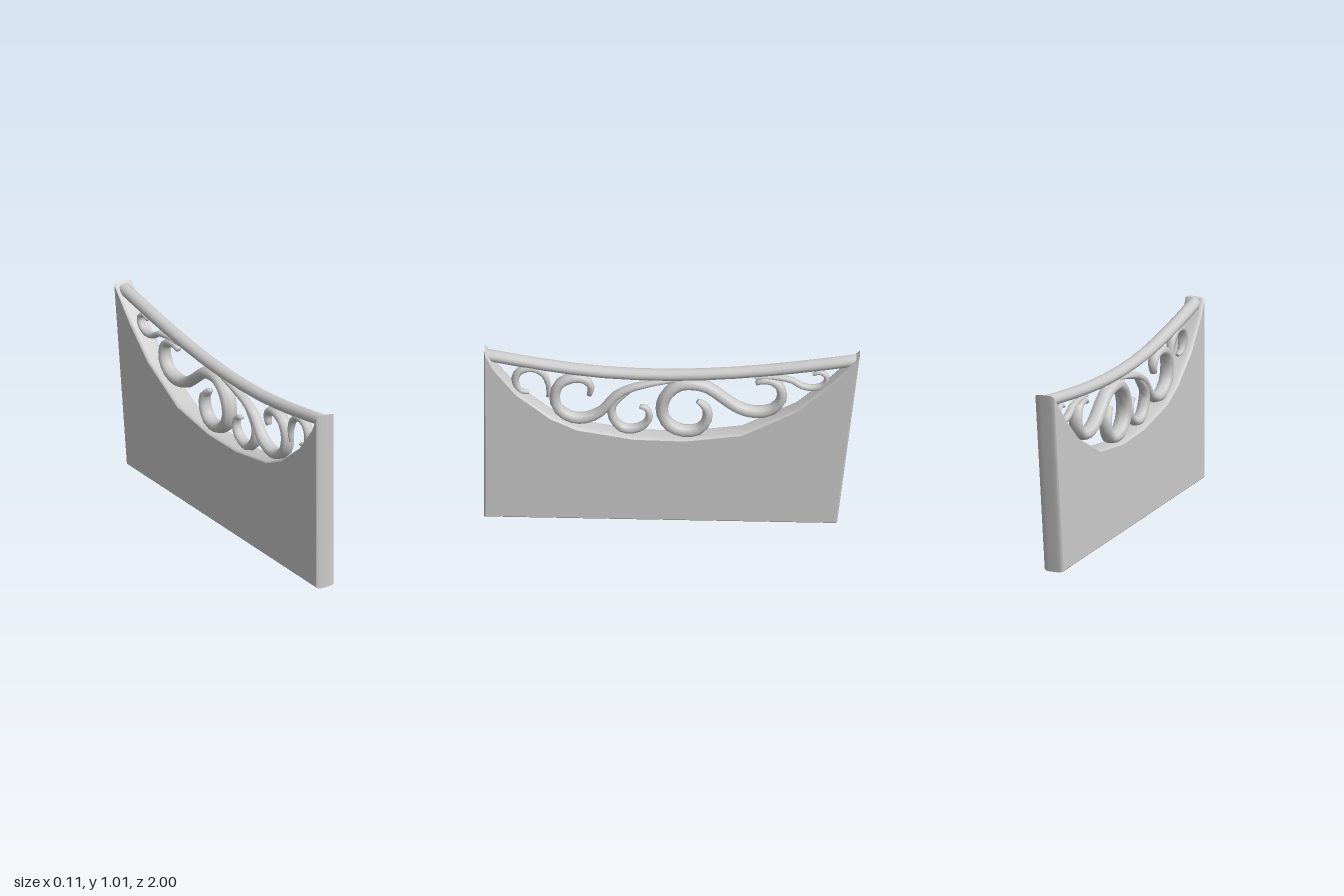
import * as THREE from 'three';
import { toCreasedNormals } from 'three/addons/utils/BufferGeometryUtils.js';

const material = new THREE.MeshStandardMaterial({ color: 0xcccccc });

// Tapered strand along [z, y, radius] points in the plane x = 0; widen stretches it in x.
function strand(name, points, widen, sides = 8) {
  const curve = new THREE.CatmullRomCurve3(points.map(p => new THREE.Vector3(...p)));
  const steps = 2 * (points.length - 1);
  const positions = [], index = [];
  const ring = (t, size) => {
    const p = curve.getPoint(t), d = curve.getTangent(t);
    const len = Math.hypot(d.x, d.y);
    for (let j = 0; j < sides; j++) {
      const a = (j / sides) * Math.PI * 2, r = p.z * size, s = Math.sin(a) * r;
      positions.push(Math.cos(a) * r * widen, p.y + (s * d.x) / len, p.x - (s * d.y) / len);
    }
  };
  ring(0, 0); // closed start
  for (let i = 0; i <= steps; i++) ring(i / steps, 1);
  ring(1, 0); // closed end
  for (let i = 0; i < steps + 2; i++) {
    for (let j = 0; j < sides; j++) {
      const a = i * sides + j, b = i * sides + ((j + 1) % sides);
      index.push(a, b, a + sides, b, b + sides, a + sides);
    }
  }
  const geometry = new THREE.BufferGeometry();
  geometry.setAttribute('position', new THREE.Float32BufferAttribute(positions, 3));
  geometry.setIndex(index);
  geometry.computeVertexNormals();
  const mesh = new THREE.Mesh(geometry, material);
  mesh.name = name;
  return mesh;
}

// Solid panel with a hollowed top and softly rounded edges, outline as [z, y].
function panel() {
  const outline = [
    [1, 0], [-0.88, 0], [-1, 1.015], [-0.84, 0.85], [-0.66, 0.69], [-0.37, 0.54],
    [-0.07, 0.5], [0.2, 0.505], [0.5, 0.555], [0.64, 0.62], [0.82, 0.76], [0.94, 0.91],
    [0.985, 1.0], [0.998, 1.005],
  ];
  const shape = new THREE.Shape(outline.map(p => new THREE.Vector2(...p)).reverse());
  const geometry = new THREE.ExtrudeGeometry(shape, {
    depth: 0.05, bevelThickness: 0.03, bevelSize: 0.01, bevelOffset: -0.01, bevelSegments: 3,
  });
  geometry.translate(0, 0, -0.025).rotateY(-Math.PI / 2);
  const mesh = new THREE.Mesh(toCreasedNormals(geometry, 0.6), material);
  mesh.name = 'panel';
  return mesh;
}

export function createModel() {
  const model = new THREE.Group();
  model.name = 'scrollworkPanel';
  model.add(panel());

  // Sagging top rail
  const rail = [[0.99, 0.97], [0.68, 0.915], [0.36, 0.876], [0, 0.867], [-0.34, 0.888], [-0.66, 0.927], [-0.985, 0.978]];
  model.add(strand('topRail', rail.map(p => [...p, 0.031]), 1.2, 12));

  // Scrollwork filling the hollow
  const scrolls = new THREE.Group();
  scrolls.name = 'scrollwork';
  scrolls.add(
    strand('frontCurl', [
      [0.76, 0.745, 0.01], [0.81, 0.757, 0.016], [0.835, 0.825, 0.021], [0.805, 0.88, 0.021],
      [0.74, 0.893, 0.02], [0.685, 0.86, 0.018], [0.657, 0.79, 0.015], [0.66, 0.72, 0.009],
    ], 1.4),
    strand('frontScroll', [
      [0.44, 0.735, 0.014], [0.43, 0.785, 0.02], [0.465, 0.83, 0.023], [0.53, 0.837, 0.026],
      [0.598, 0.8, 0.028], [0.625, 0.725, 0.029], [0.603, 0.645, 0.029], [0.53, 0.597, 0.029],
      [0.453, 0.597, 0.029], [0.373, 0.64, 0.027], [0.303, 0.73, 0.024], [0.196, 0.79, 0.02],
      [-0.01, 0.832, 0.01],
    ], 1.4),
    strand('middleCurl', [
      [0.2, 0.785, 0.01], [0.27, 0.73, 0.019], [0.32, 0.665, 0.022], [0.313, 0.597, 0.025],
      [0.27, 0.543, 0.025], [0.21, 0.532, 0.024], [0.147, 0.56, 0.022], [0.12, 0.612, 0.02],
      [0.137, 0.66, 0.016], [0.17, 0.67, 0.012],
    ], 1.4),
    strand('largeScroll', [
      [-0.137, 0.71, 0.014], [-0.185, 0.665, 0.025], [-0.185, 0.597, 0.028], [-0.142, 0.538, 0.03],
      [-0.06, 0.527, 0.031], [0.013, 0.56, 0.033], [0.05, 0.623, 0.033], [0.05, 0.693, 0.034],
      [0.02, 0.757, 0.034], [-0.045, 0.81, 0.033], [-0.115, 0.815, 0.032], [-0.19, 0.795, 0.031],
      [-0.27, 0.735, 0.031], [-0.35, 0.677, 0.031], [-0.44, 0.65, 0.031], [-0.53, 0.667, 0.03],
      [-0.58, 0.725, 0.029], [-0.58, 0.795, 0.026], [-0.54, 0.837, 0.022], [-0.48, 0.842, 0.018],
      [-0.448, 0.826, 0.013],
    ], 1.4),
    strand('backCurl', [
      [-0.44, 0.86, 0.008], [-0.555, 0.862, 0.013], [-0.64, 0.847, 0.016], [-0.69, 0.815, 0.017],
      [-0.76, 0.805, 0.017], [-0.812, 0.83, 0.016], [-0.823, 0.875, 0.015], [-0.79, 0.9, 0.013],
      [-0.75, 0.885, 0.009],
    ], 1.4),
  );
  model.add(scrolls);
  return model;
}
